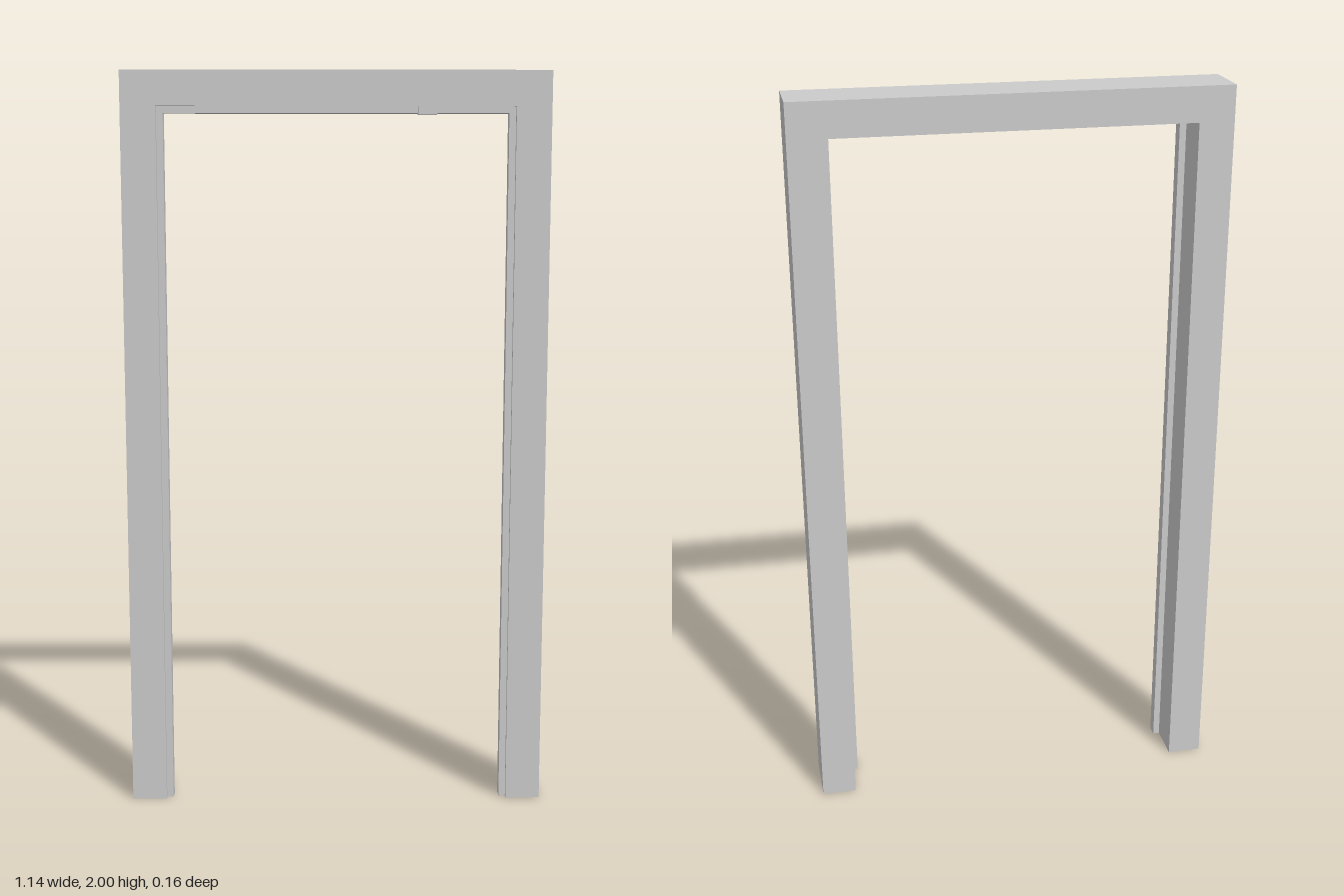
import * as THREE from 'three';

// Sweeps a rectangular profile up one side, across the top and down the other,
// with mitred corners and open feet. in/out are half-widths, low/high the heights of the head.
function archedSection(inner, outer, low, high, zBack, zFront) {
  const profile = [
    [inner, low, zFront], [outer, high, zFront],
    [outer, high, zBack], [inner, low, zBack],
  ];
  const stations = [[-1, 0], [-1, 1], [1, 1], [1, 0]];
  const positions = [];
  const point = (s, p) => {
    const [side, up] = stations[s];
    const [x, y, z] = profile[p % 4];
    return [side * x, up * y, z];
  };
  for (let s = 0; s < 3; s++) {
    for (let p = 0; p < 4; p++) {
      const a = point(s, p), b = point(s + 1, p);
      const c = point(s + 1, p + 1), d = point(s, p + 1);
      positions.push(...a, ...b, ...c, ...a, ...c, ...d);
    }
  }
  // Reverse each triangle so that the faces look outward
  const flipped = [];
  for (let i = 0; i < positions.length; i += 9) {
    flipped.push(...positions.slice(i, i + 3), ...positions.slice(i + 6, i + 9), ...positions.slice(i + 3, i + 6));
  }
  const geometry = new THREE.BufferGeometry();
  geometry.setAttribute('position', new THREE.Float32BufferAttribute(flipped, 3));
  geometry.computeVertexNormals();
  return geometry;
}

export function createModel() {
  const group = new THREE.Group();
  group.name = 'doorFrame';
  const material = new THREE.MeshStandardMaterial({
    color: 0xcccccc, flatShading: true, side: THREE.DoubleSide,
  });
  const add = (name, geometry) => {
    const mesh = new THREE.Mesh(geometry, material);
    mesh.name = name;
    group.add(mesh);
    return mesh;
  };

  // Hollow jambs and head
  add('frame', archedSection(0.476, 0.57, 1.907, 2, -0.078, 0.073));

  // Slim stop strip around the opening, near the front
  add('doorStop', archedSection(0.458, 0.476, 1.889, 1.907, 0.028, 0.06));

  // Small block under the head
  add('headBlock', new THREE.BoxGeometry(0.05, 0.023, 0.037))
    .position.set(0.241, 1.8965, 0.0595);

  return group;
}
